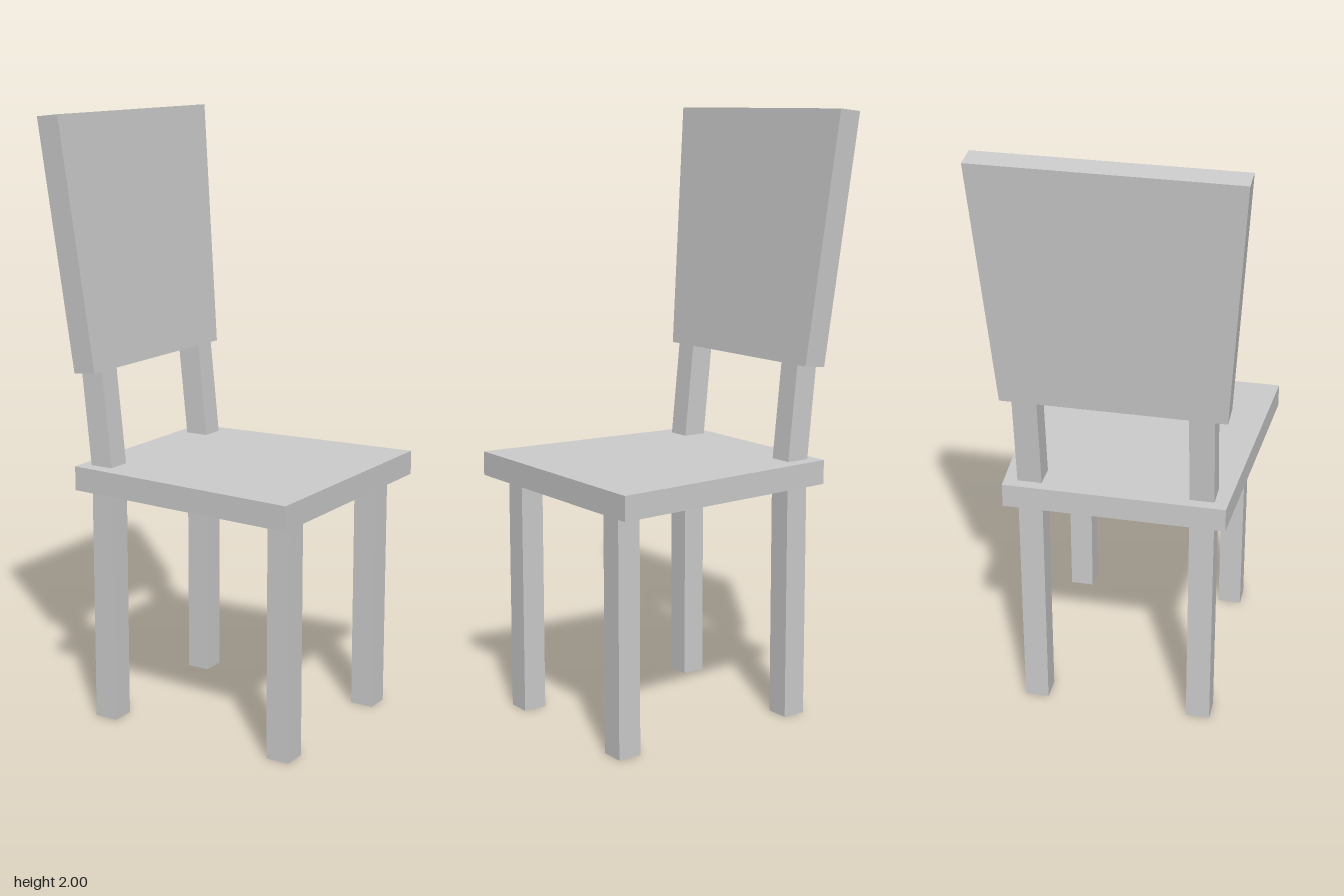
import * as THREE from 'three';

const material = new THREE.MeshStandardMaterial({ color: 0xcccccc, flatShading: true });
const THICK = 0.08;

function addMesh(parent, name, geometry, x = 0, y = 0, z = 0) {
  const mesh = new THREE.Mesh(geometry, material);
  mesh.name = name;
  mesh.position.set(x, y, z);
  parent.add(mesh);
  return mesh;
}

// Tapered board in the XY plane, centred on its thickness
function taperedBoard(halfBottom, halfTop, bottom, top) {
  const shape = new THREE.Shape([
    new THREE.Vector2(-halfBottom, bottom),
    new THREE.Vector2(halfBottom, bottom),
    new THREE.Vector2(halfTop, top),
    new THREE.Vector2(-halfTop, top),
  ]);
  return new THREE.ExtrudeGeometry(shape, { depth: THICK, bevelEnabled: false })
    .translate(0, 0, -THICK / 2);
}

export function createModel() {
  const chair = new THREE.Group();
  chair.name = 'chair';

  // Seat, wider toward the sitting edge at +x
  const seat = taperedBoard(0.362, 0.415, -0.372, 0.455).rotateX(-Math.PI / 2).rotateY(-Math.PI / 2);
  addMesh(chair, 'seat', seat, 0, 0.828, 0);

  // Leaning back: two posts carrying a tapered panel
  const back = new THREE.Group();
  back.name = 'backrest';
  back.position.set(-0.296, 0.868, 0);
  back.rotation.z = 0.104;
  chair.add(back);
  addMesh(back, 'backPanel', taperedBoard(0.36, 0.415, 0.313, 1.134).rotateY(Math.PI / 2));

  for (const z of [-0.28, 0.28]) {
    const side = z < 0 ? 'A' : 'B';
    addMesh(chair, 'frontLeg' + side, new THREE.BoxGeometry(THICK, 0.79, THICK), 0.375, 0.395, z);
    addMesh(chair, 'rearLeg' + side, new THREE.BoxGeometry(THICK, 0.79, THICK), -0.294, 0.395, z);
    addMesh(back, 'backPost' + side, new THREE.BoxGeometry(THICK, 0.343, THICK), 0, 0.1415, z);
  }

  return chair;
}
